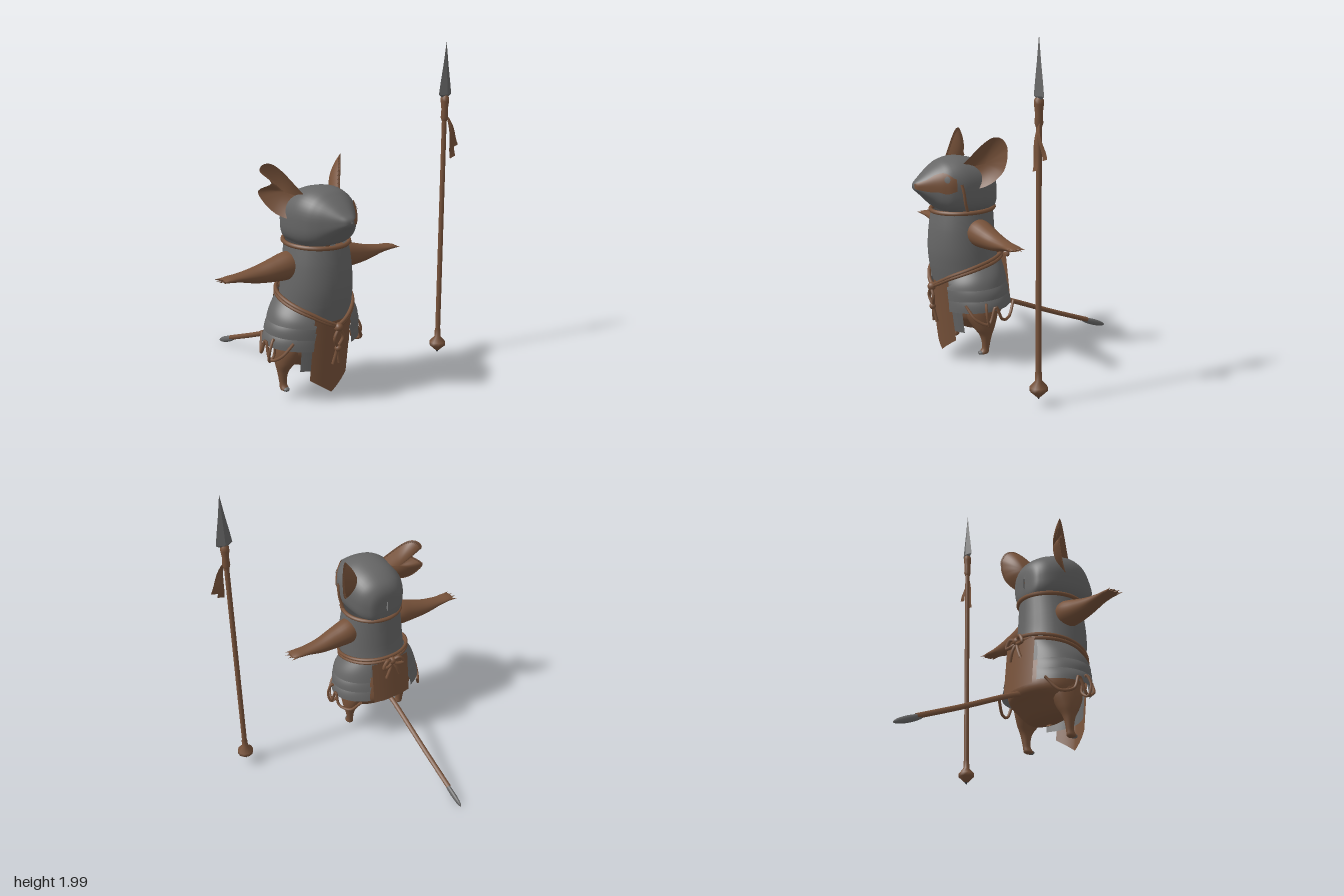
import * as THREE from 'three';
import { ParametricGeometry } from 'three/addons/geometries/ParametricGeometry.js';

const mat = (name, color) => new THREE.MeshStandardMaterial({ name, color, side: THREE.DoubleSide });
const V = (x, y, z) => new THREE.Vector3(x, y, z);

// Smoothly interpolate a row of numbers at t in 0..1
function sample(rows, t) {
  const n = rows.length - 1, s = Math.min(Math.max(t, 0), 1) * n, i = Math.min(Math.floor(s), n - 1), f = s - i;
  const at = (k) => rows[Math.min(Math.max(k, 0), n)];
  return rows[0].map((_, c) => {
    const [a, b, d, e] = [at(i - 1)[c], at(i)[c], at(i + 1)[c], at(i + 2)[c]];
    return b + 0.5 * f * (d - a + f * (2 * a - 5 * b + 4 * d - e + f * (3 * (b - d) + e - a)));
  });
}

// Elliptical tube through rows [axis, centre1, radius1, centre2, radius2]
function loft(rows, axis, nu = 32, nv = 28) {
  return new ParametricGeometry((u, v, p) => {
    const [t, c1, r1, c2, r2] = sample(rows, v), a = u * Math.PI * 2;
    const q1 = c1 + r1 * Math.cos(a), q2 = c2 + r2 * Math.sin(a);
    if (axis === 'y') p.set(q1, t, q2); else p.set(t, q1, q2);
  }, nu, nv);
}

const tube = (pts, r, closed = false, n = 40) =>
  new THREE.TubeGeometry(new THREE.CatmullRomCurve3(pts.map((p) => V(...p)), closed), n, r, 7, closed);

// Head surface: rows [z, top, bottom, half width], boxier below
const headRows = [[0.175, 1.07, 1.0, 0.005], [0.182, 1.13, 0.95, 0.09], [0.205, 1.175, 0.925, 0.13],
  [0.25, 1.21, 0.915, 0.163], [0.32, 1.24, 0.915, 0.182], [0.42, 1.257, 0.915, 0.188], [0.5, 1.243, 0.93, 0.172],
  [0.55, 1.217, 0.955, 0.145], [0.6, 1.182, 1.0, 0.105], [0.65, 1.142, 1.045, 0.062], [0.68, 1.118, 1.07, 0.032], [0.69, 1.1, 1.09, 0.003]];
function headPoint(v, a, p, lift = 0) {
  const [z, top, bot, rx] = sample(headRows, v), e = Math.sin(a) > 0 ? 0.9 : 0.62;
  const pw = (x) => Math.sign(x) * Math.pow(Math.abs(x), e);
  return p.set((rx + lift) * pw(Math.cos(a)), (top + bot) / 2 + ((top - bot) / 2 + lift) * pw(Math.sin(a)), z);
}

// Cupped ear from an outline of (distance out, height)
const earOutline = [[0, 1.18], [0.08, 1.265], [0.16, 1.345], [0.22, 1.382], [0.27, 1.375], [0.3, 1.33], [0.302, 1.28],
  [0.295, 1.23], [0.27, 1.17], [0.2, 1.105], [0.11, 1.075], [0.03, 1.1]];
const tornOutline = earOutline.map((p, i) => (i === 6 ? [0.22, 1.275] : i === 5 ? [0.285, 1.335] : p));
function ear(outline) {
  const loop = [...outline, outline[0]];
  return new ParametricGeometry((u, v, p) => {
    const [h, y] = sample(loop, u), back = v > 0.5, r = back ? 2 - 2 * v : 2 * v;
    const hh = 0.16 + (h - 0.16) * r, yy = 1.22 + (y - 1.22) * r;
    const d = (back ? -0.065 : -0.042) * (1 - r * r) + 0.015;
    p.set(0.09 + hh * 0.64 + d * 0.77, yy, 0.44 - hh * 0.77 + d * 0.64);
  }, 48, 20);
}

// Height of the slanted belt, 0 at the front to PI at the back
const beltY = (a) => sample([[0.475], [0.55], [0.605], [0.635], [0.65]], a / Math.PI)[0];

export function createModel() {
  const fur = mat('brown', 0x77523a), steel = mat('steel grey', 0x666666), dark = mat('dark grey', 0x3c3e42);
  const model = new THREE.Group(), mouse = new THREE.Group();
  mouse.name = 'mouse';
  mouse.position.x = -0.2;
  model.add(mouse);
  const add = (name, geo, m, parent = mouse) => {
    const mesh = new THREE.Mesh(geo, m);
    mesh.name = name;
    parent.add(mesh);
    return mesh;
  };

  // Torso armour and furry hips
  add('breastplate', loft([[0.5, 0, 0.213, 0.345, 0.207], [0.6, 0, 0.212, 0.362, 0.21], [0.7, 0, 0.208, 0.374, 0.207],
    [0.82, 0, 0.197, 0.375, 0.2], [0.94, 0, 0.18, 0.368, 0.188]], 'y'), steel);
  add('hips', loft([[0.18, 0, 0.02, 0.335, 0.01], [0.21, 0, 0.15, 0.33, 0.08], [0.28, 0, 0.22, 0.325, 0.155],
    [0.34, 0, 0.238, 0.308, 0.195], [0.43, 0, 0.235, 0.33, 0.21], [0.53, 0, 0.205, 0.345, 0.2]], 'y'), fur);
  add('underPanel', new ParametricGeometry((u, v, p) => {
    const x = (u - 0.5) * 0.34;
    p.set(x, 0.45 - 0.25 * v, 0.535 - 0.03 * v - x * x * 2);
  }, 12, 4), steel);

  // Head, snout and collar
  add('helmet', new ParametricGeometry((u, v, p) => headPoint(v, u * Math.PI * 2, p), 48, 48), steel);
  const ring = (y, cz, rx, rz, front = 0) => Array.from({ length: 20 }, (_, i) => {
    const a = i / 20 * Math.PI * 2;
    return [rx * Math.sin(a), y + front * Math.cos(a), cz + rz * Math.cos(a)];
  });
  add('collar', tube(ring(0.935, 0.368, 0.186, 0.193, -0.005), 0.013, true, 64), fur);

  // Slanted double cord belt
  for (const dy of [0, 0.024]) {
    add('beltCord', tube(Array.from({ length: 28 }, (_, i) => {
      const a = i / 28 * Math.PI * 2, b = Math.min(a, Math.PI * 2 - a);
      return [0.222 * Math.sin(a), beltY(b) + dy * Math.sin(b / 2 + 0.3), 0.352 + 0.222 * Math.cos(a)];
    }), 0.011, true, 72), fur);
  }

  for (const s of [1, -1]) {
    const side = new THREE.Group();
    side.name = s > 0 ? 'leftSide' : 'rightSide';
    side.scale.x = s;
    mouse.add(side);

    // Face mask and eye follow the helmet surface
    add('faceMask', new ParametricGeometry((u, v, p) => {
      const t = 0.53 + 0.435 * v, [lo, hi] = sample([[-0.02, 0.3], [-0.08, 0.65], [-0.08, 0.75], [-0.2, 0.65], [-0.3, 0.7], [-0.4, 0.8]], v);
      headPoint(t, lo + (hi - lo) * u, p, 0.006);
    }, 10, 24), fur);
    add('eye', new ParametricGeometry((u, v, p) => {
      const a = u * Math.PI * 2;
      headPoint(0.615 + 0.028 * v * Math.cos(a), 0.34 + 0.14 * v * Math.sin(a), p, 0.011);
    }, 16, 4), steel);
    add('cheekStrap', tube([[0.176, 0.94, 0.42], [0.187, 1.0, 0.44], [0.19, 1.06, 0.45], [0.182, 1.11, 0.46]], 0.009), fur);
    add('ear', ear(s > 0 ? earOutline : tornOutline), fur, side);

    // Arm, hand and fingers
    add('arm', loft([[0.13, 0.815, 0.075, 0.355, 0.075], [0.2, 0.81, 0.08, 0.35, 0.08], [0.3, 0.797, 0.064, 0.345, 0.068],
      [0.4, 0.788, 0.045, 0.337, 0.054], [0.5, 0.791, 0.025, 0.335, 0.043], [0.57, 0.794, 0.016, 0.336, 0.043],
      [0.61, 0.794, 0.007, 0.337, 0.03]], 'x', 24), fur, side);
    for (let i = 0; i < 4; i++) {
      const finger = add('finger', new THREE.ConeGeometry(0.011, 0.065, 8), fur, side);
      finger.position.set(0.61 - Math.abs(i - 1.5) * 0.008, 0.793, 0.298 + i * 0.026);
      finger.rotation.set(0, -(i - 1.5) * 0.2, -Math.PI / 2, 'YXZ');
    }

    // Leg and foot
    add('leg', loft([[0.4, 0.16, 0.07, 0.33, 0.1], [0.31, 0.165, 0.08, 0.33, 0.105], [0.23, 0.188, 0.056, 0.325, 0.07],
      [0.17, 0.2, 0.032, 0.32, 0.036], [0.1, 0.2, 0.021, 0.322, 0.023], [0.065, 0.198, 0.024, 0.335, 0.03], [0.055, 0.198, 0.002, 0.335, 0.002]], 'y', 20), fur, side);
    const toe = add('toe', new THREE.SphereGeometry(0.022, 12, 8), steel, side);
    toe.position.set(0.198, 0.068, 0.35);
    toe.scale.set(0.9, 0.6, 1);

    // Three overlapping hip plates
    const tiers = [[0.6, 0.485, 0.215, 0.285], [0.515, 0.42, 0.255, 0.3], [0.45, 0.352, 0.265, 0.308]];
    tiers.forEach(([y0, y1, r0, r1], k) => add('hipPlate', new ParametricGeometry((u, v, p) => {
      const a = 0.45 + 2.15 * u, top = k ? y0 + 0.02 * (u - 0.5) : beltY(a) - 0.005;
      const r = r0 + (r1 - r0) * v + 0.012 * Math.sin(Math.PI * v), rz = 0.213 + 0.012 * v + 0.004 * k;
      const y = top + (y1 + 0.03 * (u - 0.5) - top) * v;
      p.set(r * Math.sin(a), y, 0.35 - (0.6 - y) * 0.11 + rz * Math.cos(a));
    }, 32, 8), steel, side));

    // Hanging cords on the hips
    add('hipCord', tube([[0.23, 0.39, 0.47], [0.29, 0.31, 0.43], [0.315, 0.28, 0.36], [0.31, 0.38, 0.31],
      [0.312, 0.3, 0.27], [0.27, 0.29, 0.2], [0.22, 0.37, 0.14]], 0.009), fur, side);
    add('hipLoop', tube([[0.3, 0.4, 0.37], [0.33, 0.34, 0.38], [0.32, 0.27, 0.36], [0.28, 0.3, 0.35]], 0.008, true), fur, side);

    // Loose ends and loops of the front and back knots
    add('frontCord', tube([[0, 0.47, 0.585], [0.03, 0.41, 0.585], [0.005, 0.35, 0.575], [0.022, 0.25, 0.56]], 0.01), fur, side);
    add('bowLoop', tube([[0, 0.64, 0.115], [0.045, 0.665, 0.1], [0.075, 0.62, 0.095], [0.03, 0.62, 0.1]], 0.011, true), fur, side);
    add('bowEnd', tube([[0, 0.64, 0.115], [0.025, 0.59, 0.1], [0.05, 0.53, 0.1]], 0.01), fur, side);
  }
  add('frontKnot', new THREE.SphereGeometry(0.026, 12, 10), fur).position.set(0, 0.47, 0.58);
  add('cordBead', new THREE.SphereGeometry(0.02, 12, 10), fur).position.set(0, 0.345, 0.577);
  add('backKnot', new THREE.SphereGeometry(0.026, 12, 10), fur).position.set(0, 0.645, 0.115);

  // Cloth panels
  add('frontCloth', new ParametricGeometry((u, v, p) => {
    const x = (u - 0.5) * 0.26, m = Math.abs(x), top = 0.475 + m * 0.5, low = 0.06 + m * 0.68;
    p.set(x, top + (low - top) * v, 0.568 - 0.05 * v - x * x * 1.9);
  }, 16, 10), fur);
  add('backCloth', new ParametricGeometry((u, v, p) => {
    const x = (u - 0.5) * 0.27;
    p.set(x, 0.64 - 0.29 * v, 0.128 - 0.03 * v + x * x * 0.8);
  }, 12, 8), fur);

  // Tail with a blade tip
  add('tail', tube([[0, 0.34, 0.18], [0, 0.315, 0.09], [0, 0.17, -0.28], [0, 0.07, -0.55]], 0.016), fur);
  const blade = add('tailBlade', new THREE.SphereGeometry(1, 16, 12), steel);
  blade.scale.set(0.014, 0.02, 0.1);
  blade.position.set(0, 0.047, -0.595);
  blade.rotation.x = -0.35;

  // Spear
  const spear = new THREE.Group();
  spear.name = 'spear';
  spear.position.set(0.75, 0, 0.4);
  model.add(spear);
  const lathe = (pts, n) => new THREE.LatheGeometry(pts.map(([r, y]) => new THREE.Vector2(r, y)), n);
  add('shaft', new THREE.CylinderGeometry(0.015, 0.016, 1.45, 12), fur, spear).position.y = 0.86;
  add('pommel', lathe([[0.018, 0.2], [0.02, 0.15], [0.05, 0.118], [0.05, 0.095], [0.018, 0.066], [0.012, 0.06]], 10), fur, spear);
  add('pommelSpike', lathe([[0.014, 0.068], [0.001, 0.045]], 8), dark, spear);
  add('binding', lathe([[0.016, 1.53], [0.023, 1.55], [0.02, 1.6], [0.026, 1.65], [0.026, 1.67], [0.012, 1.69]], 12), fur, spear);
  const head = new THREE.LatheGeometry([[0.012, 1.665], [0.051, 1.69], [0.04, 1.76], [0.022, 1.86], [0.0005, 2]].map(([r, y]) => new THREE.Vector2(r, y)), 4)
    .rotateY(Math.PI / 2).scale(1, 1, 0.4).toNonIndexed();
  head.computeVertexNormals();
  add('spearHead', head, steel, spear);

  // Ribbons tied under the spear head
  for (const [x, y, z] of [[0.085, 1.37, 0.015], [0.035, 1.31, 0.045]]) {
    add('ribbon', new ParametricGeometry((u, v, p) => {
      const w = (u - 0.5) * (0.015 + 0.03 * v);
      p.set(0.018 + (x - 0.018) * v + w, 1.55 + (y - 1.55) * v + w * 0.3, 0.01 + z * v + 0.01 * Math.sin(v * 5));
    }, 3, 10), fur, spear);
  }
  return model;
}
